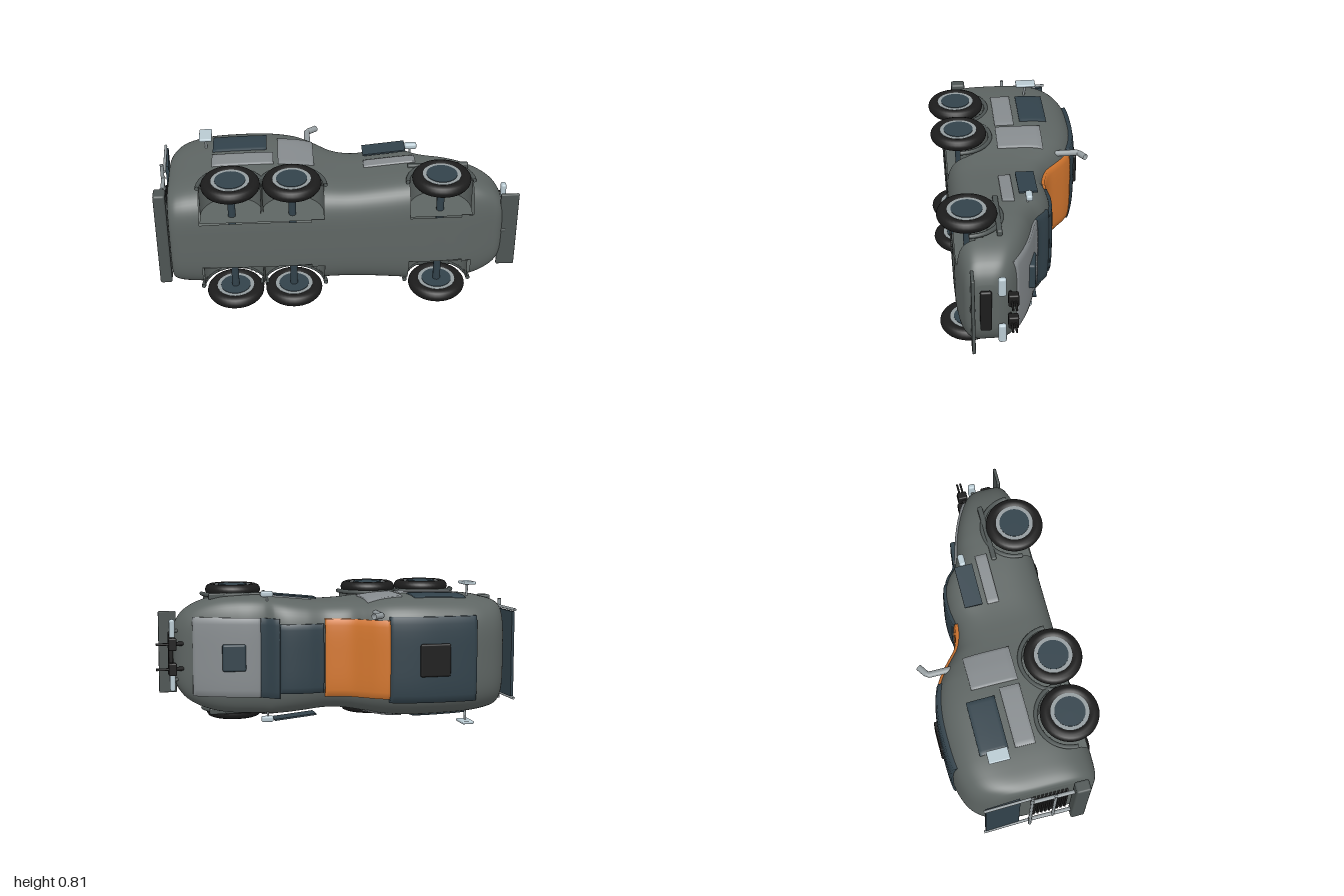
import * as THREE from 'three';
import { RoundedBoxGeometry } from 'three/addons/geometries/RoundedBoxGeometry.js';

const mat = (name, color) => {
  const m = new THREE.MeshStandardMaterial({ color, side: THREE.DoubleSide });
  m.name = name;
  return m;
};

// Hull stations: x, bottom, top, half width
const STATIONS = [
  [-0.93, -0.28, 0.12, 0.25], [-0.922, -0.32, 0.2, 0.275], [-0.9, -0.34, 0.265, 0.292],
  [-0.86, -0.348, 0.325, 0.306], [-0.8, -0.35, 0.365, 0.316], [-0.7, -0.35, 0.393, 0.326],
  [-0.55, -0.35, 0.402, 0.332], [-0.38, -0.35, 0.396, 0.334], [-0.24, -0.35, 0.365, 0.328],
  [-0.16, -0.35, 0.322, 0.318], [-0.1, -0.35, 0.272, 0.31], [-0.04, -0.35, 0.222, 0.304],
  [0.03, -0.35, 0.195, 0.3], [0.1, -0.35, 0.184, 0.302], [0.2, -0.35, 0.195, 0.311],
  [0.3, -0.35, 0.188, 0.321], [0.37, -0.35, 0.16, 0.327], [0.42, -0.35, 0.115, 0.33],
  [0.48, -0.35, 0.085, 0.331], [0.56, -0.348, 0.063, 0.329], [0.66, -0.345, 0.03, 0.317],
  [0.75, -0.332, -0.01, 0.29], [0.82, -0.315, -0.05, 0.25], [0.86, -0.3, -0.085, 0.205],
  [0.885, -0.27, -0.13, 0.15], [0.892, -0.24, -0.17, 0.1],
];
const AXLES = [-0.585, -0.26, 0.537], WHEEL_H = -0.272, WELL_R = 0.17, WELL_IN = 0.15;

// Smooth section of the hull at x
function section(x) {
  const S = STATIONS, n = S.length - 1;
  let i = 0;
  while (i < n - 1 && x > S[i + 1][0]) i++;
  const d = S[i + 1][0] - S[i][0], t = THREE.MathUtils.clamp((x - S[i][0]) / d, 0, 1);
  const slope = (k, c) => {
    const a = S[Math.max(k - 1, 0)], b = S[Math.min(k + 1, n)];
    return (b[c] - a[c]) / (b[0] - a[0]);
  };
  const at = (c) => (2 * t ** 3 - 3 * t * t + 1) * S[i][c] + (t ** 3 - 2 * t * t + t) * d * slope(i, c)
    + (3 * t * t - 2 * t ** 3) * S[i + 1][c] + (t ** 3 - t * t) * d * slope(i + 1, c);
  return { bottom: at(1), top: at(2), w: at(3) };
}
const rest = (v) => Math.max(0, 1 - Math.abs(v) ** 4) ** 0.25;
const topAt = (x, s) => {
  const { bottom, top, w } = section(x);
  return (top + bottom) / 2 + (top - bottom) / 2 * rest(s / w);
};
const sideAt = (x, h) => {
  const { bottom, top, w } = section(x);
  return w * rest((h - (top + bottom) / 2) / ((top - bottom) / 2));
};

// Indexed grid surface; keep() may leave quads out
function grid(nu, nv, wrap, fn, keep = () => true) {
  const pos = [], idx = [], cols = wrap ? nv : nv + 1;
  for (let i = 0; i <= nu; i++) for (let j = 0; j < cols; j++) pos.push(...fn(i, j));
  for (let i = 0; i < nu; i++) for (let j = 0; j < nv; j++) {
    const k = (j + 1) % cols;
    const a = i * cols + j, b = a + cols, c = (i + 1) * cols + k, d = i * cols + k;
    const mid = [0, 1, 2].map((q) => (pos[a * 3 + q] + pos[c * 3 + q]) / 2);
    if (keep(mid)) idx.push(a, b, c, a, c, d);
  }
  const g = new THREE.BufferGeometry();
  g.setAttribute('position', new THREE.Float32BufferAttribute(pos, 3));
  g.setIndex(idx);
  g.computeVertexNormals();
  return g;
}

export function createModel() {
  const hullGrey = mat('hull grey', 0x5e6563), trim = mat('trim grey', 0x4d5453);
  const plate = mat('plate grey', 0x868b8e), slate = mat('slate blue', 0x32424b);
  const orange = mat('orange', 0xd4772f), black = mat('black', 0x1c1c1c);
  const pale = mat('pale blue', 0xb9cad2), steel = mat('steel', 0x949c9f);

  // Built upright along x, then laid on its side
  const car = new THREE.Group();
  car.name = 'vehicle';
  car.rotation.x = -Math.PI / 2;
  car.position.y = 0.405;
  const add = (name, geo, m, x = 0, h = 0, s = 0) => {
    const mesh = new THREE.Mesh(geo, m);
    mesh.name = name;
    mesh.position.set(x, h, s);
    car.add(mesh);
    return mesh;
  };
  const box = (name, m, x, h, s, lx, lh, ls, r = 0) => add(name,
    r ? new RoundedBoxGeometry(lx, lh, ls, 2, r) : new THREE.BoxGeometry(lx, lh, ls), m, x, h, s);
  const rod = (name, m, r, ...pts) => {
    const path = new THREE.CurvePath();
    const v = pts.map((p) => new THREE.Vector3(...p));
    for (let i = 1; i < v.length; i++) path.add(new THREE.LineCurve3(v[i - 1], v[i]));
    add(name, new THREE.TubeGeometry(path, (v.length - 1) * 6, r, 10), m);
  };

  // Hull with open wheel wells
  const xs = [];
  STATIONS.slice(0, -1).forEach((p, i) => {
    for (let k = 0; k < 7; k++) xs.push(p[0] + (STATIONS[i + 1][0] - p[0]) * k / 7);
  });
  xs.push(0.892);
  xs.unshift(xs[0]);
  xs.push(0.892);
  const last = xs.length - 1, ring = 120;
  add('hull', grid(last, ring, true, (i, j) => {
    const { bottom, top, w } = section(xs[i]);
    const a = j / ring * Math.PI * 2, c = Math.cos(a), sn = Math.sin(a);
    const r = (i === 0 || i === last) ? 0 : (c ** 4 + sn ** 4) ** -0.25;
    return [xs[i], (top + bottom) / 2 + (top - bottom) / 2 * r * sn, w * r * c];
  }, ([x, h, s]) => !(Math.abs(s) > WELL_IN
    && AXLES.some((ax) => Math.hypot(x - ax, Math.max(h - WHEEL_H, 0)) < WELL_R))), hullGrey);

  // Raised covers following the top of the hull, with skirts down to it
  const cover = (name, m, x0, x1, half, lift = 0.007) => add(name, grid(28, 14, false, (i, j) => {
    const skirt = j === 0 || j === 14 || i === 0 || i === 28;
    const x = x0 + (x1 - x0) * (THREE.MathUtils.clamp(i, 1, 27) - 1) / 26;
    const s = half * (1 - 2 * (THREE.MathUtils.clamp(j, 1, 13) - 1) / 12);
    const top = section(x).top, h = topAt(x, s);
    return [x, skirt ? h - 0.003 : h + (top - h) * 0.5 + lift, s];
  }), m);
  cover('roofPanel', slate, -0.7, -0.22, 0.235, 0.01);
  cover('orangeBand', orange, -0.22, 0.1, 0.215);
  cover('cabRoof', slate, 0.11, 0.35, 0.19, 0.012);
  cover('windshield', slate, 0.35, 0.445, 0.22);
  cover('hoodPanel', plate, 0.445, 0.8, 0.22);
  box('roofHatch', black, -0.46, 0.407, 0, 0.17, 0.03, 0.18, 0.01);
  box('hoodHatch', slate, 0.585, 0.058, 0, 0.13, 0.05, 0.15, 0.012).rotation.z = -0.12;

  for (const k of [1, -1]) {
    // Side plates and windows
    const sidePlate = (name, m, x0, x1, h0, h1, lift = 0.008) => add(name, grid(14, 10, false, (i, j) => {
      const skirt = i === 0 || i === 14 || j === 0 || j === 10;
      const x = x0 + (x1 - x0) * (THREE.MathUtils.clamp(i, 1, 13) - 1) / 12;
      const v = (THREE.MathUtils.clamp(j, 1, 9) - 1) / 8;
      const h = k > 0 ? h0 + (h1 - h0) * v : h1 + (h0 - h1) * v;
      return [x, h, k * (sideAt(x, h) + (skirt ? -0.002 : lift))];
    }), m);
    sidePlate('lowerSidePlate', plate, -0.69, -0.355, -0.06, 0.05);
    sidePlate('rearWindow', slate, -0.687, -0.39, 0.085, 0.24);
    sidePlate('sideDoor', plate, -0.33, -0.135, -0.06, 0.195);
    sidePlate('cabSidePlate', plate, 0.135, 0.415, -0.08, -0.015);
    box('cabWindow', slate, 0.253, 0.062, k * 0.336, 0.236, 0.1, 0.009).rotation.y = -k * 0.1;
    box('cabLamp', pale, 0.403, 0.063, k * 0.348, 0.068, 0.036, 0.034, 0.012);
    rod('lampArm', steel, 0.006, [0.4, 0.055, k * 0.31], [0.4, 0.06, k * 0.34]);

    // Rear side mirrors
    box('mirror', pale, -0.725, 0.152, k * 0.396, 0.07, 0.115, 0.017, 0.007);
    rod('mirrorArm', steel, 0.007, [-0.725, 0.14, k * 0.31], [-0.725, 0.152, k * 0.39]);

    // Nose lamps and twin barrels
    box('noseLamp', pale, 0.905, -0.12, k * 0.147, 0.03, 0.042, 0.11, 0.012);
    rod('noseLampMount', trim, 0.01, [0.83, -0.13, k * 0.13], [0.9, -0.12, k * 0.14]);
    box('gunMount', black, 0.91, -0.064, k * 0.07, 0.045, 0.054, 0.07, 0.008);
    rod('gunBracket', black, 0.012, [0.82, -0.09, k * 0.07], [0.9, -0.064, k * 0.07]);
    for (const h of [-0.055, -0.074]) rod('barrel', black, 0.006, [0.93, h, k * 0.07], [1, h, k * 0.07]);

    // Rear rack posts
    rod('rackPost', steel, 0.011, [-0.965, -0.2, k * 0.2], [-0.965, 0.04, k * 0.2]);
    rod('windowPost', steel, 0.008, [-0.955, 0.02, k * 0.25], [-0.962, 0.29, k * 0.25]);

    for (const x of AXLES) {
      // Wheel well, fender and wheel
      const well = add('wheelWell', new THREE.CylinderGeometry(WELL_R, WELL_R, 0.18, 32, 1, true, 0, Math.PI), hullGrey, x, WHEEL_H, k * 0.24);
      well.rotation.set(Math.PI / 2, Math.PI / 2, 0, 'XYZ');
      const wall = new THREE.Shape().moveTo(WELL_R, -0.07).lineTo(WELL_R, 0)
        .absarc(0, 0, WELL_R, 0, Math.PI, false).lineTo(-WELL_R, -0.07);
      add('wellWall', new THREE.ShapeGeometry(wall, 20), hullGrey, x, WHEEL_H, k * WELL_IN);
      add('fender', new THREE.TorusGeometry(0.178, 0.012, 8, 36, Math.PI), trim, x, WHEEL_H, k * 0.328);

      const tyre = [[0.095, -0.022], [0.11, -0.032], [0.128, -0.033], [0.145, -0.026], [0.154, -0.013],
        [0.157, 0], [0.154, 0.013], [0.145, 0.026], [0.128, 0.033], [0.11, 0.032], [0.095, 0.022]];
      const wheel = [
        ['tyre', new THREE.LatheGeometry(tyre.map((p) => new THREE.Vector2(...p)), 40), black],
        ['rim', new THREE.CylinderGeometry(0.102, 0.102, 0.056, 36), steel],
        ['hub', new THREE.CylinderGeometry(0.082, 0.082, 0.062, 36), slate]];
      for (const [name, g, m] of wheel) add(name, g, m, x, WHEEL_H, k * 0.349).rotation.x = Math.PI / 2;
    }
    box('frontFenderTop', trim, 0.535, -0.115, k * 0.325, 0.33, 0.028, 0.035, 0.008);
  }
  for (const x of AXLES) rod('axle', slate, 0.021, [x, WHEEL_H, -0.34], [x, WHEEL_H, 0.34]);

  // Front plates
  box('frontBumper', trim, 0.915, -0.27, 0, 0.1, 0.018, 0.465, 0.006);
  box('frontGrille', black, 0.905, -0.203, 0, 0.025, 0.06, 0.245, 0.01);
  rod('bumperMount', trim, 0.014, [0.8, -0.27, 0], [0.9, -0.27, 0]);

  // Rear bumper, window, slats and rack
  box('rearBumper', trim, -0.967, -0.24, 0, 0.065, 0.08, 0.58, 0.012);
  box('tailWindow', slate, -0.95, 0.185, 0, 0.016, 0.19, 0.48).rotation.z = 0.05;
  for (let i = 0; i < 9; i++) box('slat', black, -0.94, -0.17 + i * 0.022, 0, 0.026, 0.011, 0.34);
  rod('rackBar', steel, 0.01, [-0.968, 0.03, -0.29], [-0.968, 0.03, 0.29]);
  rod('rackBar', steel, 0.009, [-0.968, -0.1, -0.22], [-0.968, -0.1, 0.22]);

  // Exhaust on the left flank
  rod('exhaust', steel, 0.017, [-0.16, 0.25, 0.25], [-0.16, 0.395, 0.25], [-0.105, 0.432, 0.25]);

  const model = new THREE.Group();
  model.name = 'model';
  model.add(car);
  return model;
}
